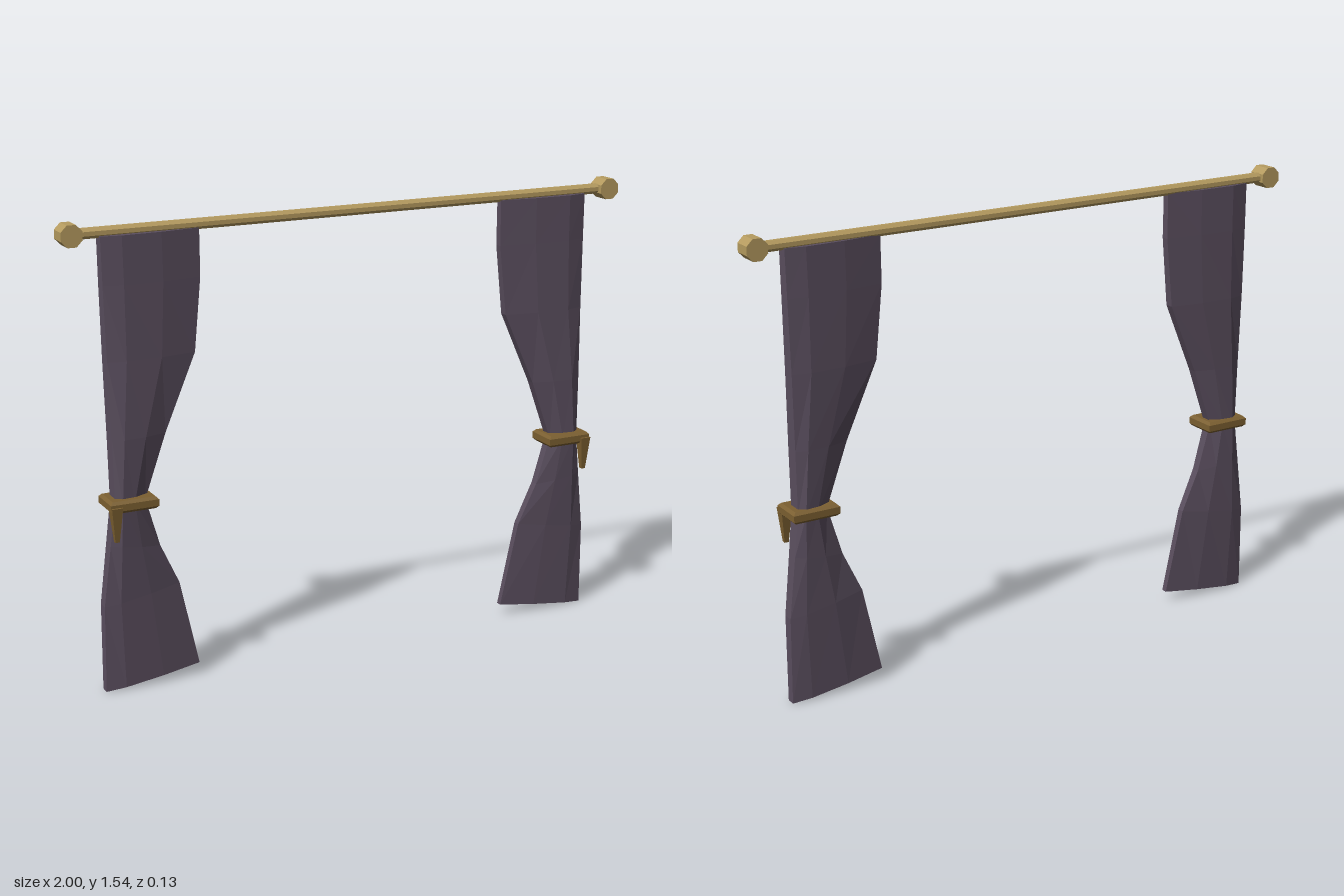
import * as THREE from 'three';

const flat = (name, color) => {
  const m = new THREE.MeshStandardMaterial({ color, flatShading: true });
  m.name = name;
  return m;
};

// Rows from top to hem: inner x, inner y, outer x, outer y, front z, back z
const ROWS = [
  [0.545, 1.495, 0.872, 1.495, 0.012, -0.05],
  [0.545, 1.34, 0.87, 1.34, 0.014, -0.053],
  [0.57, 1.10, 0.866, 1.10, 0.02, -0.056],
  [0.68, 0.85, 0.862, 0.85, 0.029, -0.053],
  [0.755, 0.64, 0.86, 0.64, 0.03, -0.05],
  [0.707, 0.475, 0.877, 0.50, 0.022, -0.05],
  [0.642, 0.335, 0.902, 0.295, 0.013, -0.05],
  [0.577, 0.04, 0.905, 0, 0.006, -0.046],
];
// Cross-section: position across the cloth (0 inner, 1 outer) and depth factor
const SECTION = [[1, 0.6], [0.8, 1], [0.4, 0.9], [0, 0.4], [0, -0.4], [0.4, -0.9], [0.8, -1], [1, -0.6]];

function curtainGeometry(side) {
  const pos = [], index = [], n = SECTION.length;
  for (const [xi, yi, xo, yo, zf, zb] of ROWS) {
    const mid = (zf + zb) / 2, half = (zf - zb) / 2;
    for (const [u, d] of SECTION) {
      pos.push(side * (xi + (xo - xi) * u), yi + (yo - yi) * u, mid + half * d);
    }
  }
  const tri = (a, b, c) => (side > 0 ? index.push(a, b, c) : index.push(a, c, b));
  const last = (ROWS.length - 1) * n;
  for (let i = 0; i < last; i += n) {
    for (let j = 0; j < n; j++) {
      const k = (j + 1) % n;
      tri(i + j, i + k, i + n + k);
      tri(i + j, i + n + k, i + n + j);
    }
  }
  // top and hem caps
  for (let j = 1; j < n - 1; j++) {
    tri(0, j + 1, j);
    tri(last, last + j, last + j + 1);
  }
  const g = new THREE.BufferGeometry();
  g.setAttribute('position', new THREE.Float32BufferAttribute(pos, 3));
  g.setIndex(index);
  const out = g.toNonIndexed();
  out.computeVertexNormals();
  return out;
}

// Chamfered band lying flat, centred on the origin
function tieGeometry(w, d, h, bevel) {
  const x = w / 2 - bevel, z = d / 2 - bevel;
  const shape = new THREE.Shape([[-x, -z], [x, -z], [x, z], [-x, z]].map(p => new THREE.Vector2(...p)));
  const g = new THREE.ExtrudeGeometry(shape, {
    depth: h - 2 * bevel, bevelEnabled: true, bevelSize: bevel, bevelThickness: bevel, bevelSegments: 1,
  });
  return g.rotateX(-Math.PI / 2).center();
}

export function createModel() {
  const model = new THREE.Group();
  model.name = 'curtains';
  const cloth = flat('plum cloth', 0x5a4e5e);
  const brass = flat('brass', 0xb59b5f);
  const cord = flat('brown cord', 0x7c6031);
  const add = (name, geometry, material, x = 0, y = 0, z = 0) => {
    const mesh = new THREE.Mesh(geometry, material);
    mesh.name = name;
    mesh.position.set(x, y, z);
    model.add(mesh);
  };

  // rod
  const rod = new THREE.CylinderGeometry(0.018, 0.018, 1.9, 8).rotateY(Math.PI / 8).rotateZ(Math.PI / 2);
  add('rod', rod, brass, 0, 1.505, -0.022);

  // octagonal end knobs facing forward
  const knob = new THREE.CylinderGeometry(0.0374, 0.0374, 0.063, 8).rotateY(Math.PI / 8).rotateX(Math.PI / 2);
  const tie = tieGeometry(0.161, 0.118, 0.04, 0.009);
  // tapered square cord end
  const tassel = new THREE.CylinderGeometry(0.026, 0.01, 0.115, 4).rotateY(Math.PI / 4);

  for (const [label, s] of [['left', 1], ['right', -1]]) {
    add(label + 'Knob', knob, brass, s * 0.9655, 1.505, -0.02);
    add(label + 'Curtain', curtainGeometry(s), cloth);
    add(label + 'Tie', tie, cord, s * 0.807, 0.639, -0.004);
    add(label + 'Tassel', tassel, cord, s * 0.869, 0.583, 0.045);
  }
  return model;
}
